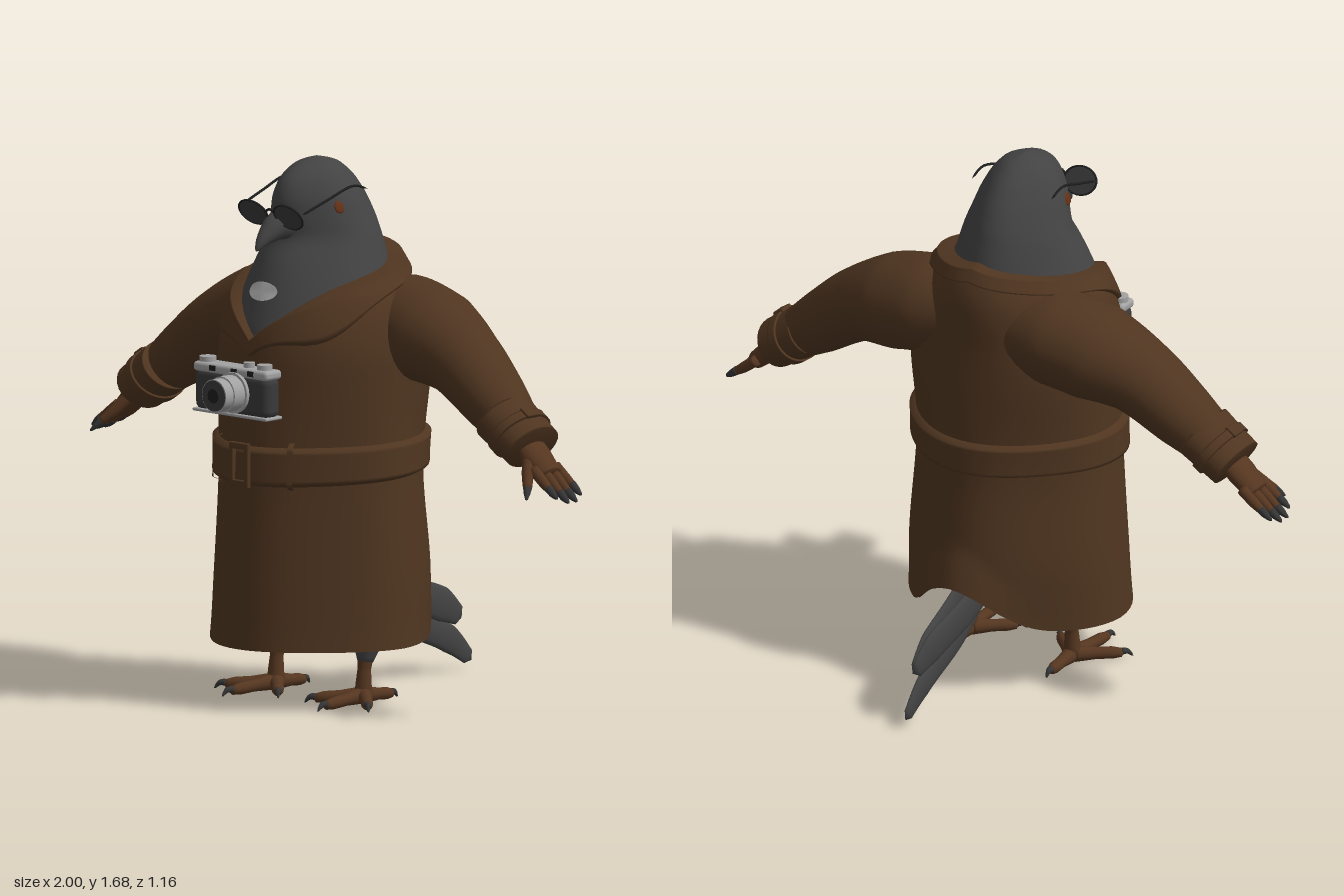
import * as THREE from 'three';
import { mergeVertices } from 'three/addons/utils/BufferGeometryUtils.js';
import { RoundedBoxGeometry } from 'three/addons/geometries/RoundedBoxGeometry.js';

const V = (x, y, z) => new THREE.Vector3(x, y, z);
const mat = (name, color, side = THREE.FrontSide) => {
  const m = new THREE.MeshStandardMaterial({ color, side });
  m.name = name;
  return m;
};

// cross-sections from rows of [y, half width, front z, back z]
const profile = (rows) => new THREE.CubicInterpolant(rows.map((r) => r[0]), rows.flatMap((r) => r.slice(1)), 3);
// point on a body: u = 0 is the front, growing towards +x;
// the diagonals are drawn in a little, but full at the chest and shoulder blades
function onBody(body, cx, u, y, off = 0) {
  const [w, zf, zb] = body.evaluate(y), full = Math.exp(-(((y - 1.07) / 0.22) ** 2));
  const k = 1 - (0.075 - full * (Math.cos(u) < 0 ? 0.11 : 0.06)) * Math.sin(2 * u) ** 2;
  return V(cx + (w * k + off) * Math.sin(u), y, (zf + zb) / 2 + ((zf - zb) / 2 * k + off) * Math.cos(u));
}

// grid surface from f(u, v), v running upwards
function sheet(u0, u1, nu, nv, f) {
  const pos = [], idx = [];
  for (let j = 0; j <= nv; j++) for (let i = 0; i <= nu; i++) pos.push(...f(u0 + (u1 - u0) * i / nu, j / nv).toArray());
  for (let j = 0; j < nv; j++) for (let i = 0; i < nu; i++) {
    const a = j * (nu + 1) + i, d = a + nu + 1;
    idx.push(a, a + 1, d, a + 1, d + 1, d);
  }
  let g = new THREE.BufferGeometry();
  g.setAttribute('position', new THREE.Float32BufferAttribute(pos, 3));
  g.setIndex(idx);
  g = mergeVertices(g, 1e-5);
  g.computeVertexNormals();
  return g;
}

// closed tube through points with a radius at each point, optionally widened in z
function limb(points, radii, zs = 1, segs = 24, sides = 18) {
  const curve = new THREE.CatmullRomCurve3(points.map((p) => V(...p)));
  let g = new THREE.TubeGeometry(curve, segs, 1, sides);
  const p = g.attributes.position, v = V(0, 0, 0), n = radii.length - 1;
  for (let i = 0; i < p.count; i++) {
    const ring = Math.floor(i / (sides + 1));
    const c = curve.getPointAt(ring / segs), t = curve.getUtoTmapping(ring / segs) * n;
    const k = Math.min(n - 1, Math.floor(t));
    const r = ring === 0 || ring === segs ? 0 : THREE.MathUtils.lerp(radii[k], radii[k + 1], t - k);
    v.fromBufferAttribute(p, i).sub(c).multiplyScalar(r);
    v.z *= zs;
    p.setXYZ(i, ...v.add(c).toArray());
  }
  g.deleteAttribute('uv');
  g.deleteAttribute('normal');
  g = mergeVertices(g, 1e-5);
  g.computeVertexNormals();
  return g;
}

export function createModel() {
  const model = new THREE.Group();
  const coatM = mat('coat brown', 0x4f3520, THREE.DoubleSide), featherM = mat('feather grey', 0x434343, THREE.DoubleSide);
  const liningM = mat('lining dark brown', 0x3e2917, THREE.DoubleSide);
  const skinM = mat('skin brown', 0x553620), clawM = mat('claw dark', 0x353535), patchM = mat('patch grey', 0xb0b0b0);
  const eyeM = mat('eye rust', 0x623016), lensM = mat('lens charcoal', 0x393939, THREE.DoubleSide);
  const frameM = mat('frame black', 0x1e1e1e), silverM = mat('silver', 0xa2a2a2);
  const add = (name, g, m, parent = model) => {
    const mesh = new THREE.Mesh(g, m);
    mesh.name = name;
    parent.add(mesh);
    return mesh;
  };
  const P = Math.PI, CX = -0.012;

  // head and chest
  const bird = profile([
    [1.0, 0.23, 0.37, -0.16], [1.15, 0.24, 0.392, -0.16], [1.22, 0.237, 0.372, -0.16], [1.3, 0.223, 0.342, -0.155],
    [1.38, 0.195, 0.305, -0.145], [1.45, 0.17, 0.264, -0.125], [1.5, 0.152, 0.268, -0.108], [1.58, 0.123, 0.263, -0.062],
    [1.64, 0.085, 0.22, -0.005], [1.668, 0.048, 0.165, 0.045], [1.682, 0, 0.105, 0.105]]);
  add('headAndChest', sheet(-P, P, 48, 44, (u, v) => onBody(bird, CX, u, 1.0 + 0.682 * Math.sin(v * P / 2))), featherM);
  add('beak', limb([[CX, 1.488, 0.22], [CX, 1.483, 0.28], [CX, 1.46, 0.325], [CX, 1.437, 0.355], [CX, 1.415, 0.374]],
    [0.06, 0.045, 0.029, 0.016, 0.003]), featherM);
  const patch = new THREE.CircleGeometry(1, 32), pp = patch.attributes.position;
  for (let i = 0; i < pp.count; i++) {
    const y = 1.29 + pp.getY(i) * 0.028;
    pp.setXYZ(i, ...onBody(bird, CX, pp.getX(i) * 0.255, y, 0.005).toArray());
  }
  patch.computeVertexNormals();
  add('chestPatch', patch, patchM);
  for (const s of [-1, 1]) {
    const eye = add('eye', new THREE.SphereGeometry(0.02, 16, 12), eyeM);
    eye.position.copy(onBody(bird, CX, s * 1.28, 1.54));
    eye.scale.x = 0.3;
    eye.rotation.z = s * 0.35;
  }

  // spectacles
  const glasses = new THREE.Group();
  glasses.name = 'spectacles';
  model.add(glasses);
  for (const s of [-1, 1]) {
    const rim = new THREE.Group();
    rim.position.set(CX + s * 0.074, 1.522, 0.308);
    rim.rotation.x = 0.5;
    rim.scale.set(1, 0.78, 1);
    glasses.add(rim);
    add('lens', new THREE.CircleGeometry(0.057, 28), lensM, rim);
    add('lensRim', new THREE.TorusGeometry(0.057, 0.0035, 8, 32), frameM, rim);
    add('temple', limb([[CX + s * 0.13, 1.535, 0.305], [CX + s * 0.137, 1.57, 0.2], [CX + s * 0.143, 1.602, 0.09], [CX + s * 0.143, 1.585, 0.03]],
      [0.004, 0.004, 0.004, 0.004], 1, 16, 6), frameM, glasses);
  }
  add('bridge', limb([[CX - 0.02, 1.53, 0.31], [CX, 1.54, 0.315], [CX + 0.02, 1.53, 0.31]], [0.004, 0.004, 0.004], 1, 8, 6), frameM, glasses);

  // coat body with a V neck, the hem lifted over the tail
  const coat = profile([
    [0.15, 0.365, 0.475, -0.262], [0.2, 0.36, 0.47, -0.265], [0.4, 0.35, 0.46, -0.275], [0.7, 0.33, 0.443, -0.245],
    [0.85, 0.325, 0.435, -0.24], [1.0, 0.325, 0.42, -0.23], [1.1, 0.325, 0.41, -0.22], [1.15, 0.32, 0.402, -0.216],
    [1.22, 0.305, 0.385, -0.215], [1.28, 0.28, 0.365, -0.212], [1.33, 0.24, 0.342, -0.2], [1.4, 0.2, 0.32, -0.165]]);
  const neck = (u) => 1.145 + 0.185 * (1 - Math.exp(-Math.abs(u) / 0.6)) + 0.065 * (u / P) ** 2;
  const tailGap = (u) => Math.exp(-(((P - Math.abs(u)) / 0.48) ** 2));
  const hem = (u) => 0.195 + 0.015 * Math.max(0, -Math.cos(u)) + 0.155 * tailGap(u);
  const skirt = (top, inset) => (u, v) =>
    onBody(coat, 0, u, THREE.MathUtils.lerp(hem(u), top(u), v), 0.035 * tailGap(u) * Math.max(0, 1 - (top(u) - hem(u)) * 8 * v) - inset);
  add('coat', sheet(-P, P, 64, 44, skirt(neck, 0)), coatM);
  add('coatLining', sheet(-P, P, 64, 16, skirt(() => 0.7, 0.008)), liningM);
  // raised cloth strip lying on the coat, its top edge optionally tucked inwards
  const strip = (u0, u1, nu, lo, hi, off, tuck = 0) => sheet(u0, u1, nu, 12, (u, v) =>
    onBody(coat, 0, u, THREE.MathUtils.lerp(lo(u), hi(u), v), off * Math.min(1, 12 * v, 12 * (1 - v)) - (v === 1 ? tuck : 0)), coatM);
  const lapel = (u) => neck(u) - 0.04 - 0.09 * Math.exp(-(((Math.abs(u) - 0.75) / 0.5) ** 2));
  add('collar', strip(-P, P, 64, lapel, (u) => neck(u) + 0.008, 0.015, 0.035), coatM);
  add('belt', strip(-P, P, 64, (u) => 0.717 - 0.015 * Math.cos(u), (u) => 0.832 - 0.008 * Math.cos(u), 0.02), coatM);
  add('frontFlap', strip(-0.11, 0.06, 4, () => 0.196, () => 0.705, 0.005), coatM);
  for (const u of [-0.45, 0.5]) add('beltLoop', strip(u - 0.025, u + 0.025, 3, () => 0.695, () => 0.84, 0.029), coatM);
  const rect = (S, w, h) => new S([[-w, -h], [w, -h], [w, h], [-w, h]].map((p) => new THREE.Vector2(...p)));
  const buckle = rect(THREE.Shape, 0.038, 0.066);
  buckle.holes.push(rect(THREE.Path, 0.025, 0.05));
  add('beltBuckle', new THREE.ExtrudeGeometry(buckle, { depth: 0.012, bevelEnabled: true, bevelSize: 0.002, bevelThickness: 0.002, bevelSegments: 1 }), coatM)
    .position.set(0.005, 0.768, 0.457);

  for (const s of [-1, 1]) {
    const side = (pts) => pts.map(([x, y, z]) => [s * x, y, z]);
    // sleeve and cuff
    add('sleeve', limb(side([[0.08, 1.18, -0.05], [0.22, 1.172, -0.045], [0.36, 1.143, -0.03], [0.5, 1.09, -0.01], [0.65, 0.985, 0.008], [0.78, 0.89, 0.025]]),
      [0.12, 0.15, 0.148, 0.117, 0.098, 0.072], 1.12, 40, 28), coatM);
    add('cuff', limb(side([[0.7, 0.947, 0.025], [0.765, 0.903, 0.025], [0.83, 0.86, 0.025]]), [0.085, 0.081, 0.078], 1.33, 24, 28), coatM);
    add('cuffStrap', limb(side([[0.752, 0.912, 0.025], [0.768, 0.901, 0.025], [0.784, 0.89, 0.025]]), [0.087, 0.087, 0.087], 1.32, 10, 28), coatM);
    const tab = add('cuffBuckle', new RoundedBoxGeometry(0.04, 0.014, 0.05, 2, 0.004), coatM);
    tab.position.set(s * 0.815, 0.971, 0.03);
    tab.rotation.z = -s * 0.59;

    // hand with four fingers and a thumb
    add('palm', limb(side([[0.79, 0.885, 0.025], [0.845, 0.835, 0.027], [0.905, 0.782, 0.025]]), [0.034, 0.036, 0.028], 1.55), skinM);
    for (let i = 0; i < 4; i++) {
      const z = -0.022 + i * 0.032, e = i % 3 ? 0 : 0.015;
      add('finger', limb(side([[0.87, 0.81, z], [0.92, 0.772, z * 1.05], [0.97 - e, 0.733 + e, z * 1.1]]), [0.018, 0.017, 0.012], 1, 14, 10), skinM);
      add('fingerTip', limb(side([[0.955 - e, 0.745 + e, z * 1.08], [0.978 - e, 0.727 + e, z * 1.1], [1.0 - e, 0.712 + e, z * 1.1]]), [0.0145, 0.012, 0.004], 1, 10, 10), clawM);
    }
    add('thumb', limb(side([[0.84, 0.835, 0.06], [0.875, 0.785, 0.1], [0.905, 0.75, 0.132]]), [0.02, 0.018, 0.013], 1, 14, 10), skinM);
    add('thumbTip', limb(side([[0.897, 0.76, 0.123], [0.91, 0.742, 0.14], [0.922, 0.725, 0.155]]), [0.014, 0.01, 0.003], 1, 10, 10), clawM);

    // leg and foot
    const lx = 0.185;
    add('thigh', limb(side([[0.17, 0.45, 0.06], [0.18, 0.3, 0.07], [lx, 0.2, 0.085], [lx, 0.12, 0.098]]), [0.12, 0.085, 0.048, 0.02], 1, 24, 18), featherM);
    add('shank', limb(side([[lx, 0.19, 0.088], [lx, 0.11, 0.1], [lx, 0.03, 0.105]]), [0.03, 0.021, 0.028], 1, 20, 14), skinM);
    for (const [x, z] of [[-0.115, 0.215], [0.015, 0.3], [0.125, 0.215], [0, -0.03]]) {
      const at = (t, y) => [lx + x * t, y, 0.1 + (z - 0.1) * t];
      add('toe', limb(side([at(0, 0.03), at(0.45, 0.026), at(0.75, 0.023), at(0.97, 0.02)]), [0.027, 0.019, 0.019, 0.012], 1, 18, 12), skinM);
      add('toeClaw', limb(side([at(0.9, 0.025), at(1.02, 0.024), at(1.13, 0.006)]), [0.012, 0.009, 0.002], 1, 10, 10), clawM);
    }
  }

  // underside and tail feathers, which close up towards the tip
  const belly = add('belly', new THREE.SphereGeometry(1, 32, 20), featherM);
  belly.position.set(0, 0.45, 0.06);
  belly.scale.set(0.27, 0.17, 0.26);
  const feather = (x, y0, z1, y1, w, t) => {
    const f = add('tailFeather', limb([[0, y0, -0.08], [0, y0 * 0.55 + y1 * 0.45, -0.27], [0, y0 * 0.25 + y1 * 0.75, z1 * 0.8 - 0.016], [0, y1, z1]],
      [w * 0.8, w, w, w * 0.5], 1, 28, 16), featherM);
    f.scale.x = t;
    f.position.x = x - 0.01;
    f.rotation.y = x / 0.57;
  };
  for (const x of [-0.045, 0.045]) feather(x, 0.375, -0.535, 0.17, 0.054, 0.25);
  feather(0, 0.34, -0.58, 0.032, 0.044, 0.3);

  // camera hanging on the chest
  const cam = new THREE.Group();
  cam.name = 'camera';
  cam.position.set(-0.013, 1.0, 0.455);
  model.add(cam);
  const drum = (name, r, len, m, x, y, z, upright) => {
    const d = add(name, new THREE.CylinderGeometry(r, r, len, 28), m, cam);
    d.position.set(x, y, z);
    if (!upright) d.rotation.x = P / 2;
  };
  add('cameraBody', new RoundedBoxGeometry(0.31, 0.13, 0.07, 4, 0.025), lensM, cam).position.y = -0.012;
  add('cameraTopPlate', new RoundedBoxGeometry(0.312, 0.03, 0.074, 3, 0.012), silverM, cam).position.y = 0.058;
  add('cameraBasePlate', new RoundedBoxGeometry(0.312, 0.01, 0.074, 3, 0.004), silverM, cam).position.y = -0.076;
  drum('lensMount', 0.064, 0.012, silverM, 0.02, -0.005, 0.04);
  drum('lensBarrel', 0.056, 0.05, silverM, 0.02, -0.005, 0.066);
  drum('lensRing', 0.051, 0.04, silverM, 0.02, -0.005, 0.105);
  drum('lensFace', 0.048, 0.004, lensM, 0.02, -0.005, 0.125);
  drum('lensGlass', 0.022, 0.004, frameM, 0.02, -0.005, 0.128);
  for (const [x, r] of [[-0.125, 0.026], [0.05, 0.018], [0.115, 0.024]]) drum('dial', r, 0.018, silverM, x, 0.079, 0, true);
  for (const x of [-0.07, 0.02, 0.09]) add('viewWindow', new THREE.BoxGeometry(0.024, 0.016, 0.004), frameM, cam).position.set(x, 0.06, 0.037);
  return model;
}
